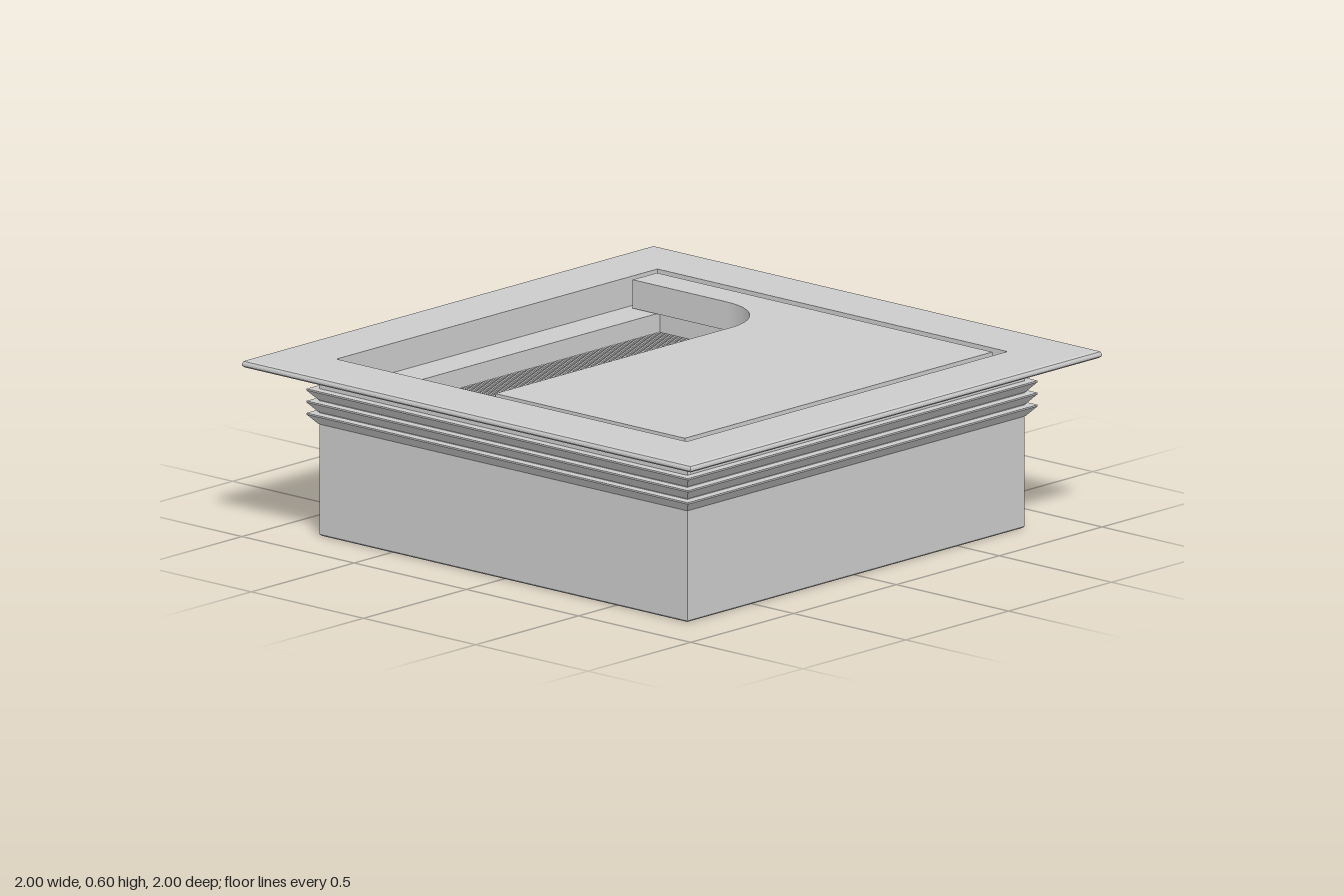
import * as THREE from 'three';
import { mergeGeometries } from 'three/addons/utils/BufferGeometryUtils.js';

const smooth = new THREE.MeshStandardMaterial({ color: 0xcccccc });
const flat = new THREE.MeshStandardMaterial({ color: 0xcccccc, flatShading: true });

function add(group, name, geometry, material = smooth) {
  const mesh = new THREE.Mesh(geometry, material);
  mesh.name = name;
  group.add(mesh);
  return mesh;
}

// Sweeps a closed (half width, height) profile around a square
function squareRing(profile) {
  const points = profile.map(([r, y]) => new THREE.Vector2(r * Math.SQRT2, y));
  points.push(points[0].clone());
  return new THREE.LatheGeometry(points, 4, Math.PI / 4).toNonIndexed();
}

export function createModel() {
  const model = new THREE.Group();
  model.name = 'cableGrommet';

  // Housing: sleeve, flange with eased edge, lid recess and ledge, bristle groove
  const housing = squareRing([
    [0.65, 0], [0.815, 0], [0.82, 0.005], [0.82, 0.575],
    [0.993, 0.575], [1, 0.581], [1, 0.588], [0.996, 0.596], [0.987, 0.6],
    [0.78, 0.6], [0.78, 0.5], [0.65, 0.5], [0.65, 0.42],
    [0.75, 0.4], [0.75, 0.08], [0.65, 0.08],
  ]);
  housing.computeVertexNormals();
  add(model, 'housing', housing, flat);

  // Three gripping barbs around the sleeve
  for (let i = 0; i < 3; i++) {
    const y = 0.38 + i * 0.041;
    const barb = squareRing([[0.81, y], [0.822, y], [0.85, y + 0.033], [0.85, y + 0.038], [0.81, y + 0.038]]);
    barb.computeVertexNormals();
    add(model, 'gripBarb', barb, flat);
  }

  // Lid with a rounded cable cutout and a narrow tongue (shape y runs towards the back)
  const outline = new THREE.Shape();
  outline.moveTo(-0.75, -0.745);
  outline.lineTo(0.745, -0.745);
  outline.lineTo(0.745, 0.75);
  outline.lineTo(0.627, 0.75);
  outline.lineTo(0.627, 0.33);
  outline.absarc(0.397, 0.33, 0.23, 0, -Math.PI / 2, true);
  outline.lineTo(-0.75, 0.1);
  outline.closePath();
  const lid = new THREE.ExtrudeGeometry(outline, { depth: 0.097, bevelEnabled: false, curveSegments: 20 });
  lid.rotateX(-Math.PI / 2);
  lid.translate(0, 0.502, 0);
  add(model, 'lid', lid);

  // Hinge pins bridging the gap beside the lid
  for (const side of [-1, 1]) {
    const pin = add(model, 'hingePin', new THREE.CylinderGeometry(0.016, 0.016, 0.06, 16));
    pin.rotation.z = Math.PI / 2;
    pin.position.set(side * 0.76, 0.55, 0.71);
  }

  // Brush: holder in the back groove and two staggered rows of bristles
  const holder = add(model, 'brushHolder', new THREE.BoxGeometry(1.49, 0.09, 0.09));
  holder.position.set(0, 0.395, -0.705);

  const bristles = [];
  const count = 105;
  for (let row = 0; row < 2; row++) {
    for (let i = 0; i < count; i++) {
      const length = 0.7 + 0.02 * Math.sin(i * 2.4 + row);
      const bristle = new THREE.CylinderGeometry(0.0058, 0.0058, length, 6);
      bristle.rotateX(Math.PI / 2);
      bristle.translate(-0.645 + (1.29 * i) / (count - 1), 0.43 - row * 0.04, -0.67 + length / 2);
      bristles.push(bristle);
    }
  }
  add(model, 'bristles', mergeGeometries(bristles));

  return model;
}
